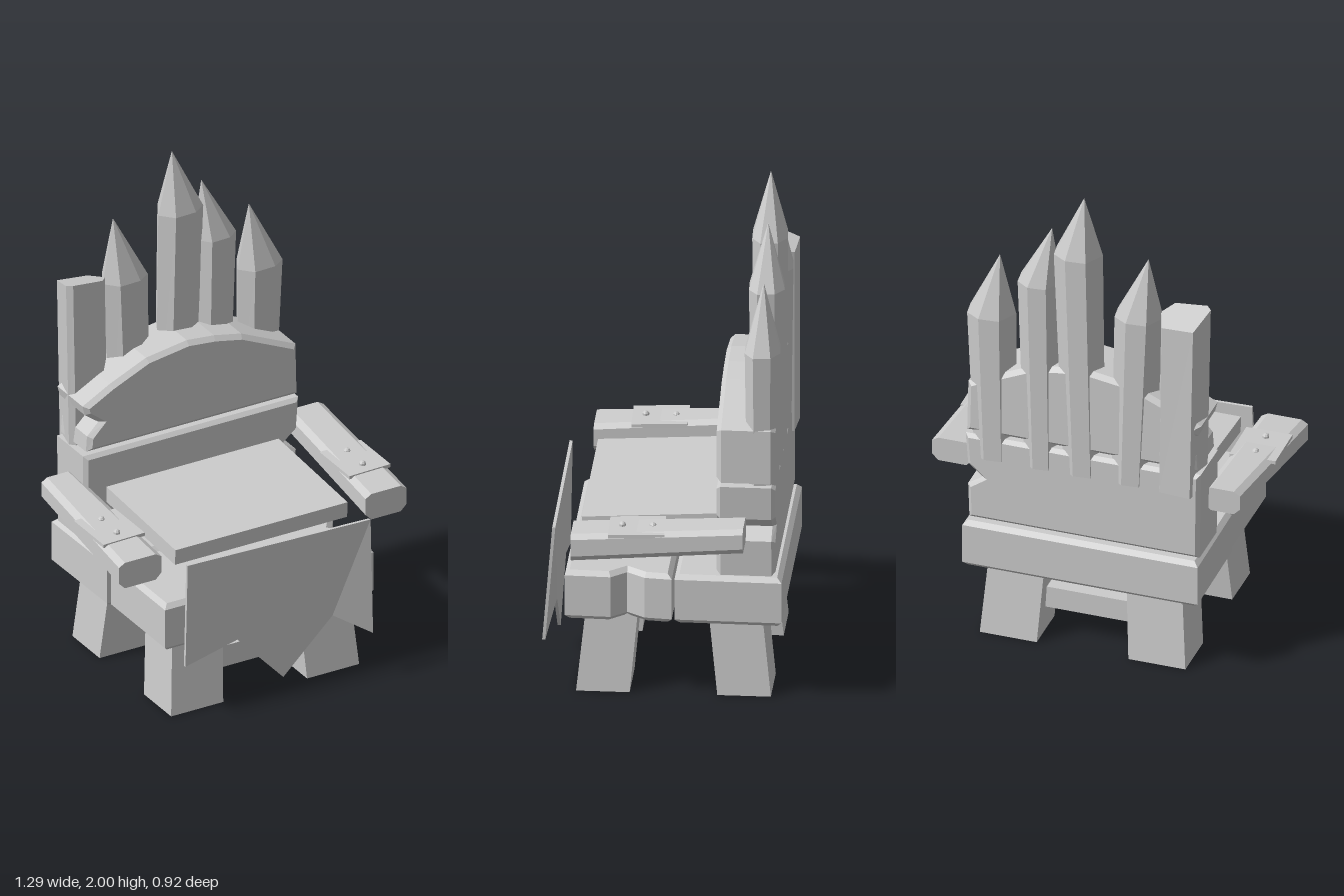
import * as THREE from 'three';

const wood = new THREE.MeshStandardMaterial({ color: 0xcccccc });
wood.name = 'paleGrey';
wood.flatShading = true;

// Closed solid through a list of rings (same number of [x, y, z] points each)
function loft(rings) {
  const n = rings[0].length, tris = [];
  for (let r = 0; r < rings.length - 1; r++) {
    for (let i = 0; i < n; i++) {
      const j = (i + 1) % n, a = rings[r], b = rings[r + 1];
      tris.push([a[i], b[i], b[j]], [a[i], b[j], a[j]]);
    }
  }
  const first = rings[0], last = rings[rings.length - 1];
  for (let i = 1; i < n - 1; i++) {
    tris.push([first[0], first[i], first[i + 1]], [last[0], last[i + 1], last[i]]);
  }
  // Turn the faces outwards by checking the signed volume
  let volume = 0;
  const o = new THREE.Vector3(...first[0]);
  for (const t of tris) {
    const [a, b, c] = t.map((p) => new THREE.Vector3(...p).sub(o));
    volume += a.dot(b.cross(c));
  }
  if (volume < 0) tris.forEach((t) => t.reverse());
  const g = new THREE.BufferGeometry();
  g.setAttribute('position', new THREE.Float32BufferAttribute(tris.flat(2), 3));
  g.computeVertexNormals();
  return g;
}

// Extruded outline with a chamfered rim that stays inside the outline
function plank(points, depth, bevel) {
  const shape = new THREE.Shape(points.map((p) => new THREE.Vector2(...p)));
  const g = new THREE.ExtrudeGeometry(shape, {
    depth: depth - 2 * bevel, bevelEnabled: bevel > 0, bevelSize: bevel,
    bevelThickness: bevel, bevelOffset: -bevel, bevelSegments: 1,
  });
  return g.translate(0, 0, bevel);
}

export function createModel() {
  const model = new THREE.Group();
  model.name = 'throne';
  const add = (name, geometry, parent = model) => {
    const mesh = new THREE.Mesh(geometry, wood);
    mesh.name = name;
    parent.add(mesh);
    return mesh;
  };
  const box = (w, h, d, x, y, z) => new THREE.BoxGeometry(w, h, d).translate(x, y, z);
  const rect = (x0, x1, z0, z1, y) => [[x0, y, z0], [x1, y, z0], [x1, y, z1], [x0, y, z1]];

  // Splayed legs
  for (const s of [-1, 1]) {
    add('frontLeg', loft([rect(s * 0.185, s * 0.415, 0.13, 0.335, 0), rect(s * 0.165, s * 0.39, 0.1, 0.3, 0.33)]));
    add('rearLeg', loft([rect(s * 0.185, s * 0.415, -0.41, -0.205, 0), rect(s * 0.165, s * 0.39, -0.375, -0.17, 0.33)]));
  }
  // Rungs between the legs
  add('frontRung', box(0.42, 0.09, 0.08, 0, 0.15, 0.22));
  add('rearRung', box(0.42, 0.09, 0.08, 0, 0.16, -0.29));

  // Seat planks, outlined as x and -z, then laid flat
  const flat = (g) => g.rotateX(-Math.PI / 2).translate(0, 0.31, 0);
  add('frontSeatPlank', flat(plank([
    [-0.465, -0.375], [0.455, -0.375], [0.46, -0.2], [0.405, -0.14],
    [0.455, -0.07], [0.465, 0.035], [-0.465, 0.035],
  ], 0.2, 0.018)));
  add('rearSeatPlank', flat(plank([
    [-0.475, 0.045], [0.465, 0.045], [0.47, 0.455], [-0.48, 0.455],
  ], 0.2, 0.018)));

  // Back planks, notched at the edges
  add('lowerBackPlank', plank([
    [-0.475, 0.515], [0.455, 0.515], [0.46, 0.66], [0.4, 0.7],
    [0.46, 0.75], [0.47, 0.885], [-0.48, 0.885],
  ], 0.225, 0.015).translate(0, 0, -0.43));
  add('upperBackPlank', plank([
    [-0.465, 0.9], [0.465, 0.9], [0.46, 1.115], [0.22, 1.225], [0.1, 1.25], [-0.02, 1.262],
    [-0.2, 1.235], [-0.36, 1.165], [-0.48, 1.1], [-0.47, 1.06], [-0.41, 1.015], [-0.46, 0.965],
  ], 0.225, 0.018).translate(0, 0, -0.43));

  // Sharpened stakes: bottom centre, shoulder centre, half width, shoulder height, tip
  const outline = [[-1, 0.25], [-0.5, 1], [0.45, 0.95], [1, 0.45], [0.9, -0.5], [0.3, -1], [-0.55, -0.9]];
  const ring = (x, y, w, d) => outline.map(([u, v]) => [x + u * w, y, -0.377 + v * d]);
  const stakes = [
    [-0.19, -0.215, 0.095, 1.52, -0.255, 1.78],
    [0.005, 0.03, 0.095, 1.75, 0.005, 2],
    [0.17, 0.185, 0.085, 1.6, 0.135, 1.84],
    [0.365, 0.38, 0.095, 1.42, 0.345, 1.68],
  ];
  for (const [bx, sx, w, sy, tx, ty] of stakes) {
    add('stake', loft([
      ring(bx, 0.79, w * 0.85, 0.062), ring(sx, sy, w, 0.07), ring(tx, ty, 0.001, 0.001),
    ]));
  }
  // Broken stake with a slanted flat top
  const stump = [[-0.49, -0.33], [-0.47, -0.31], [-0.34, -0.31], [-0.3, -0.36], [-0.33, -0.44], [-0.46, -0.45]];
  add('brokenStake', loft([
    stump.map(([x, z]) => [x * 0.97, 0.79, z]),
    stump.map(([x, z]) => [x, 1.52 - (x + 0.3) * 0.1 + (z + 0.45) * 0.3, z]),
  ]));

  // Armrests: chamfered bars rising to the rear, each with a bolted plate
  const section = (x0, x1, y0, y1, z) => {
    const c = 0.026;
    return [
      [x0 + c, y0, z], [x1 - c, y0, z], [x1, y0 + c, z], [x1, y1 - c * 0.6, z],
      [x1 - c, y1, z], [x0 + c, y1, z], [x0, y1 - c * 0.6, z], [x0, y0 + c, z],
    ];
  };
  const arms = [
    ['rightArm', -0.605, -0.46, -0.648, -0.46, -0.545],
    ['leftArm', 0.475, 0.64, 0.44, 0.622, 0.54],
  ];
  for (const [name, r0, r1, f0, f1, cx] of arms) {
    const arm = new THREE.Group();
    arm.name = name;
    model.add(arm);
    add('armRest', loft([
      section(r0, r1, 0.675, 0.775, -0.32), section(f0, f1, 0.615, 0.725, 0.34),
    ]), arm);
    const plate = add('armPlate', new THREE.BoxGeometry(0.185, 0.014, 0.215), arm);
    plate.position.set(cx, 0.737, 0.09);
    plate.rotation.set(0.03, 0.03, 0);
    for (const z of [0.03, 0.147]) {
      add('bolt', new THREE.SphereGeometry(0.014, 8, 5).translate(cx, 0.746, z), arm);
    }
  }

  // Thin seat board, rising slightly to the rear
  const seat = add('seatBoard', new THREE.BoxGeometry(0.76, 0.065, 0.53));
  seat.position.set(-0.005, 0.687, 0.05);
  seat.rotation.x = 0.06;

  // Ragged cloth hanging in front, its lower left corner swung forwards
  const cloth = plank([
    [-0.395, 0.69], [-0.41, 0.26], [-0.18, 0.315], [0.02, 0.1],
    [0.24, 0.305], [0.4, 0.2], [0.412, 0.67],
  ], 0.012, 0);
  const p = cloth.attributes.position;
  for (let i = 0; i < p.count; i++) {
    const swing = p.getX(i) > 0.35 && p.getY(i) < 0.25 ? 0.03 : 0;
    p.setZ(i, p.getZ(i) + 0.414 + swing + (0.69 - p.getY(i)) * 0.02);
  }
  cloth.computeVertexNormals();
  add('frontCloth', cloth);

  return model;
}
